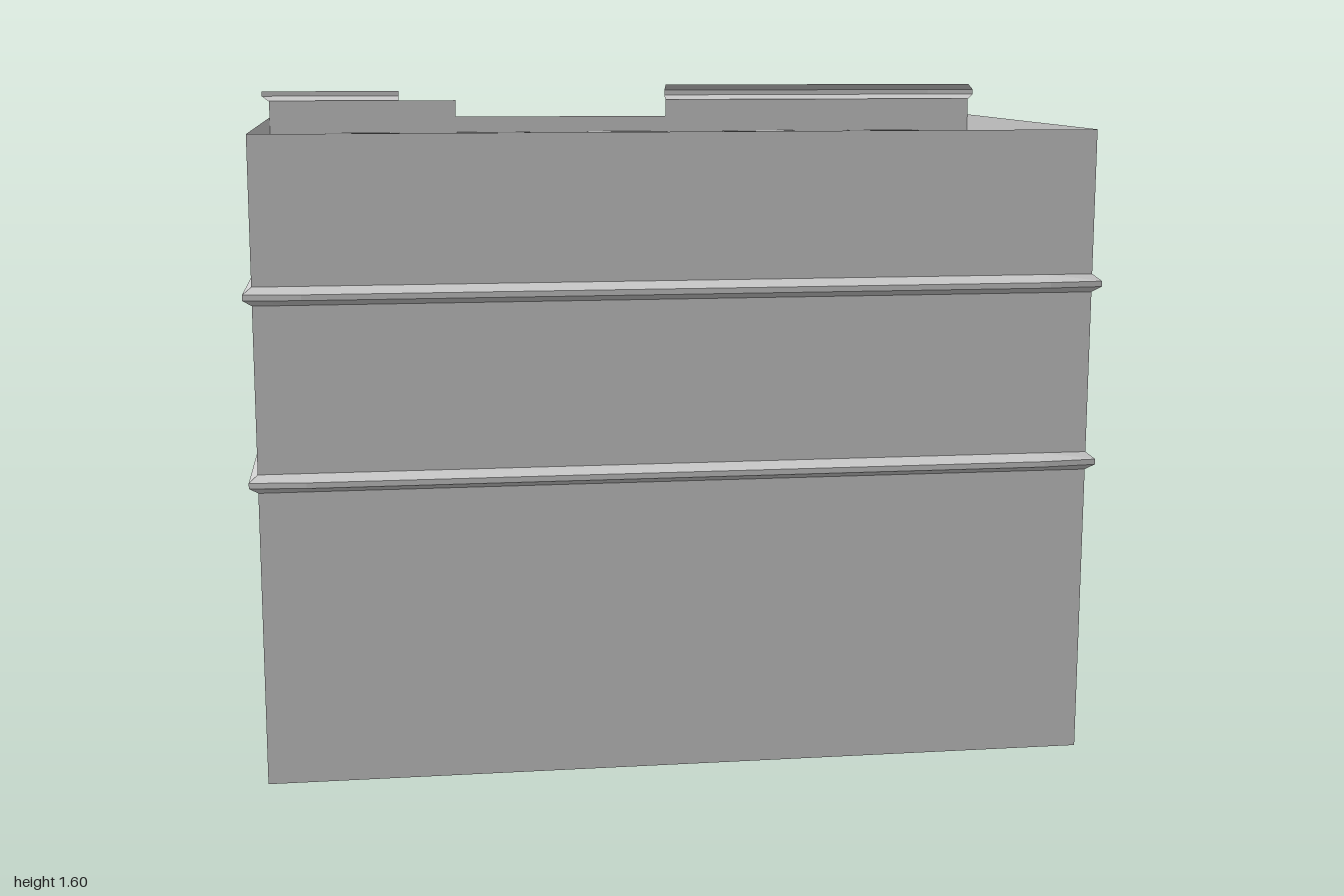
import * as THREE from 'three';

const HX = 0.98, HZ = 0.527, TOP = 1.51;
const mat = new THREE.MeshStandardMaterial({ color: 0xcccccc, flatShading: true, side: THREE.DoubleSide });

// trim profile: [height above its foot, outward amount 0..1]
const TRIM = [[0, 0], [0.014, 1], [0.027, 1], [0.043, 0]];
const BANDS = [0.697, 1.127];
const TRIM_H = 0.043;

function mesh(name, geo) {
  const m = new THREE.Mesh(geo, mat);
  m.name = name;
  return m;
}

// surface between successive rows of points
function loft(rows) {
  const pos = [];
  for (let r = 0; r + 1 < rows.length; r++) {
    const a = rows[r], b = rows[r + 1];
    for (let i = 0; i + 1 < a.length; i++) {
      for (const p of [a[i], a[i + 1], b[i + 1], a[i], b[i + 1], b[i]]) pos.push(...p);
    }
  }
  const g = new THREE.BufferGeometry();
  g.setAttribute('position', new THREE.Float32BufferAttribute(pos, 3));
  g.computeVertexNormals();
  return g;
}

// closed outline at one height, swelling outward by t with eased corners
function ring(y, t) {
  const X = HX + 0.02 * t, zc = HZ + 0.014 * t, zm = HZ + 0.027 * t, m = 0.87;
  return [[X, -zc], [m, -zm], [-m, -zm], [-X, -zc], [-X, zc], [-m, zm], [m, zm], [X, zc], [X, -zc]]
    .map(([x, z]) => [x, y, z]).reverse();
}

// roof cornice along the back wall only
function cornice(x0, x1, foot, profile) {
  const xs = [x0, Math.max(x0, Math.min(x1, x0 < 0 ? -0.87 : 0.87)), x1];
  return loft(profile.map(([h, t]) => xs.map((x) => {
    const end = Math.abs(x) > 0.9;
    return [end ? Math.sign(x) * (HX + 0.02 * t) : x, foot + h, -HZ - (end ? 0.02 : 0.028) * t];
  }).reverse()));
}

function rectPath(x0, y0, x1, y1) {
  const p = new THREE.Path();
  p.moveTo(x0, y0).lineTo(x0, y1).lineTo(x1, y1).lineTo(x1, y0).closePath();
  return p;
}

// recessed window, facing +z, origin at the middle of its opening
function makeWindow(w, h) {
  const g = new THREE.Group();
  g.name = 'window';
  const depth = 0.036, f = 0.017;
  const loop = (z) => [[-1, -1], [1, -1], [1, 1], [-1, 1], [-1, -1]].map(([a, b]) => [a * w / 2, b * h / 2, z]);
  g.add(mesh('reveal', loft([loop(-depth), loop(0)])));
  const pane = mesh('pane', new THREE.PlaneGeometry(w, h));
  pane.position.z = -depth;
  g.add(pane);

  // outer frame
  const s = new THREE.Shape();
  s.moveTo(-w / 2, -h / 2).lineTo(w / 2, -h / 2).lineTo(w / 2, h / 2).lineTo(-w / 2, h / 2).closePath();
  s.holes.push(rectPath(-w / 2 + f, -h / 2 + f, w / 2 - f, h / 2 - f));
  const frame = mesh('frame', new THREE.ExtrudeGeometry(s, { depth: 0.018, bevelEnabled: false }));
  frame.position.z = -depth;
  g.add(frame);

  // glazing bars and sill
  const bars = [
    ['mullion', 0.018, h - 2 * f, 0.016, 0, 0, -depth + 0.008],
    ['transom', w - 2 * f, 0.016, 0.016, 0, h * 0.12, -depth + 0.0075],
    ['sill', w, 0.014, 0.032, 0, -h / 2 + 0.007, -0.018],
  ];
  for (const [name, sx, sy, sz, x, y, z] of bars) {
    const b = mesh(name, new THREE.BoxGeometry(sx, sy, sz));
    b.position.set(x, y, z);
    g.add(b);
  }
  return g;
}

export function createModel() {
  const model = new THREE.Group();
  model.name = 'building';

  // window layout: columns [centre x, width], rows [bottom, top]
  const cols = [[-0.73, 0.2], [-0.372, 0.2], [0, 0.222], [0.372, 0.2], [0.73, 0.2]];
  const rows = [[0.34, 0.622], [0.773, 1.055], [1.188, 1.468]];

  // plain front and side walls, one strip per storey
  const feet = [0, ...BANDS.map((b) => b + TRIM_H)];
  const heads = [...BANDS, TOP];
  feet.forEach((y0, i) => {
    const line = (y) => [[-HX, -HZ], [-HX, HZ], [HX, HZ], [HX, -HZ]].map(([x, z]) => [x, y, z]);
    model.add(mesh('frontAndSideWalls', loft([line(y0), line(heads[i])])));
  });

  // back wall with openings; the top storey has stepped parapets
  feet.forEach((y0, i) => {
    const y1 = heads[i];
    const s = new THREE.Shape();
    s.moveTo(-HX, y0).lineTo(HX, y0);
    if (i === 2) {
      s.lineTo(HX, 1.555).lineTo(0.475, 1.555).lineTo(0.475, y1);
      s.lineTo(-0.11, y1).lineTo(-0.11, 1.555).lineTo(-HX, 1.555);
    } else {
      s.lineTo(HX, y1).lineTo(-HX, y1);
    }
    s.closePath();
    const [b, t] = rows[i];
    cols.forEach(([x, w], c) => {
      if (i === 0 && c === 2) return;
      s.holes.push(rectPath(-x - w / 2, b, -x + w / 2, t));
      const win = makeWindow(w, t - b);
      win.rotation.y = Math.PI;
      win.position.set(x, (b + t) / 2, -HZ);
      model.add(win);
    });
    const wall = mesh('backWall', new THREE.ShapeGeometry(s));
    wall.rotation.y = Math.PI;
    wall.position.z = -HZ;
    model.add(wall);
  });

  // string courses around all sides
  for (const y of BANDS) {
    model.add(mesh('stringCourse', loft(TRIM.map(([h, t]) => ring(y + h, t)))));
  }

  // cornices on the back parapets; the short one keeps only its lower part
  model.add(mesh('longCornice', cornice(0.11, HX, 1.553, TRIM)));
  model.add(mesh('shortCornice', cornice(-HX, -0.63, 1.553, TRIM.slice(0, 3))));

  return model;
}
